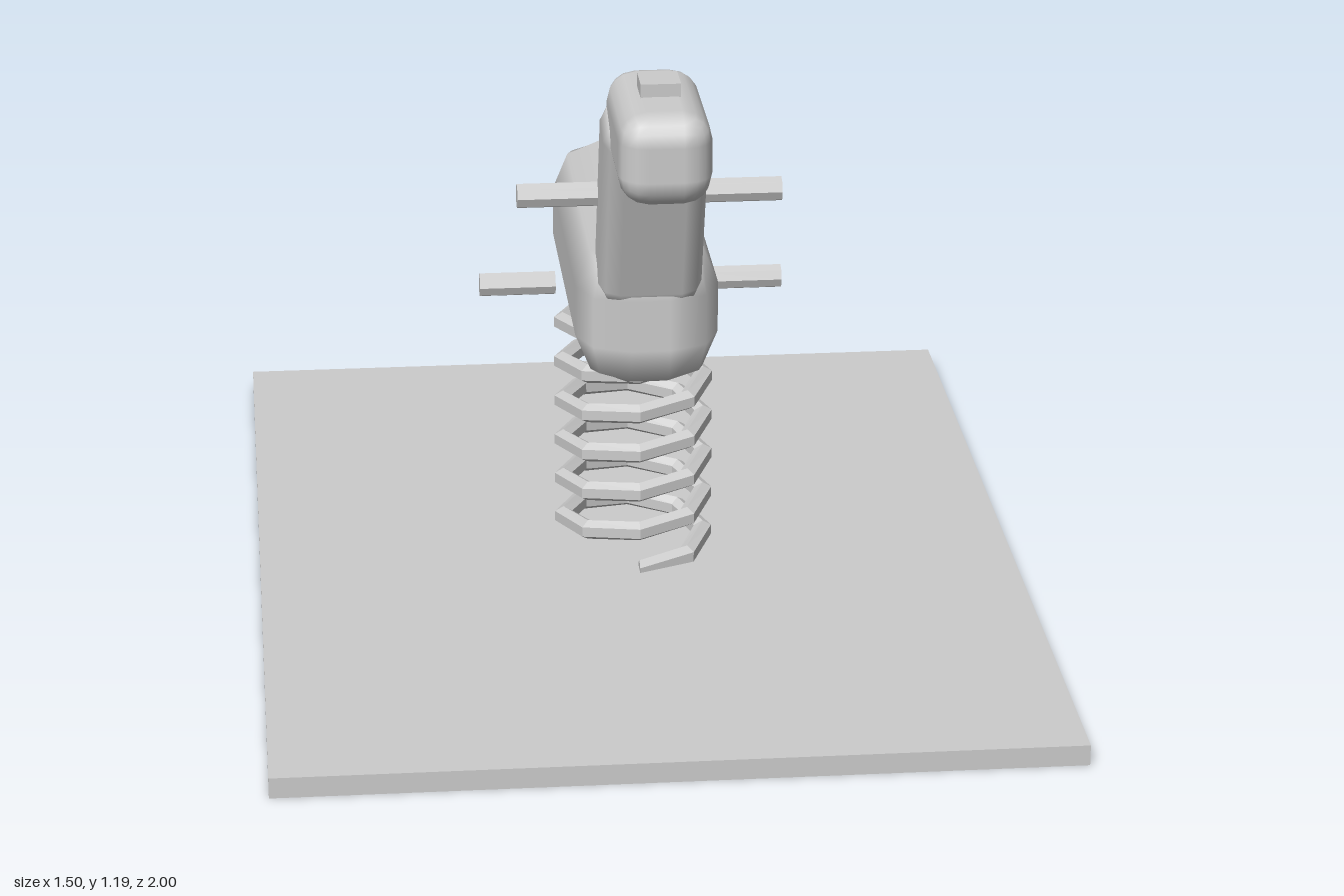
import * as THREE from 'three';
import { RoundedBoxGeometry } from 'three/addons/geometries/RoundedBoxGeometry.js';

// Coil swept with a hexagonal section, eight straight pieces per turn
function coilGeometry(radius, wire, y0, y1, turns) {
  const steps = turns * 8, sides = 6, pos = [], index = [];
  for (let i = 0; i <= steps; i++) {
    const t = (i / 8) * Math.PI * 2;
    const y = y0 + (y1 - y0) * (i / steps);
    for (let j = 0; j < sides; j++) {
      const a = ((j + 0.5) / sides) * Math.PI * 2;
      const r = radius + wire * Math.cos(a);
      pos.push(r * Math.sin(t), y + wire * Math.sin(a), r * Math.cos(t));
    }
  }
  for (let i = 0; i < steps; i++) {
    for (let j = 0; j < sides; j++) {
      const k = (j + 1) % sides;
      const a = i * sides + j, b = i * sides + k;
      const c = a + sides, d = b + sides;
      index.push(a, c, b, b, c, d);
    }
  }
  // end caps
  const last = steps * sides;
  for (let j = 1; j < sides - 1; j++) {
    index.push(0, j, j + 1, last, last + j + 1, last + j);
  }
  const g = new THREE.BufferGeometry();
  g.setAttribute('position', new THREE.Float32BufferAttribute(pos, 3));
  g.setIndex(index);
  const flat = g.toNonIndexed();
  flat.computeVertexNormals();
  return flat;
}

export function createModel() {
  const model = new THREE.Group();
  model.name = 'springRider';

  const grey = new THREE.MeshStandardMaterial({ color: 0xcccccc });
  grey.name = 'plain grey';

  const add = (name, geometry, x, y, z) => {
    const mesh = new THREE.Mesh(geometry, grey);
    mesh.name = name;
    mesh.position.set(x, y, z);
    model.add(mesh);
    return mesh;
  };
  // Eight-sided bar lying along x
  const bar = (length) => {
    const g = new THREE.CylinderGeometry(0.024, 0.024, length, 8).toNonIndexed();
    g.rotateZ(Math.PI / 2);
    g.computeVertexNormals();
    return g;
  };

  // Ground plate and spring
  add('basePlate', new THREE.BoxGeometry(1.5, 0.04, 2), 0, 0.02, 0);
  add('spring', coilGeometry(0.14, 0.02, 0.04, 0.54, 6), 0, 0, 0);

  // Animal: body, leaning neck, head and crest
  add('body', new RoundedBoxGeometry(0.274, 0.3, 0.77, 1, 0.1), 0, 0.65, 0);
  const neck = add('neck', new RoundedBoxGeometry(0.197, 0.42, 0.148, 1, 0.04), 0, 0.9, 0.375);
  neck.rotation.x = THREE.MathUtils.degToRad(20);
  add('head', new RoundedBoxGeometry(0.172, 0.175, 0.345, 2, 0.055), 0, 1.078, 0.525);
  add('crest', new THREE.BoxGeometry(0.074, 0.05, 0.074), 0, 1.165, 0.525);

  // Handlebar through the neck, and a foot peg on each side
  add('handlebar', bar(0.5), 0, 0.904, 0.338);
  for (const side of [1, -1]) {
    add(side > 0 ? 'leftFootPeg' : 'rightFootPeg', bar(0.15), side * 0.225, 0.578, -0.064);
  }
  return model;
}
